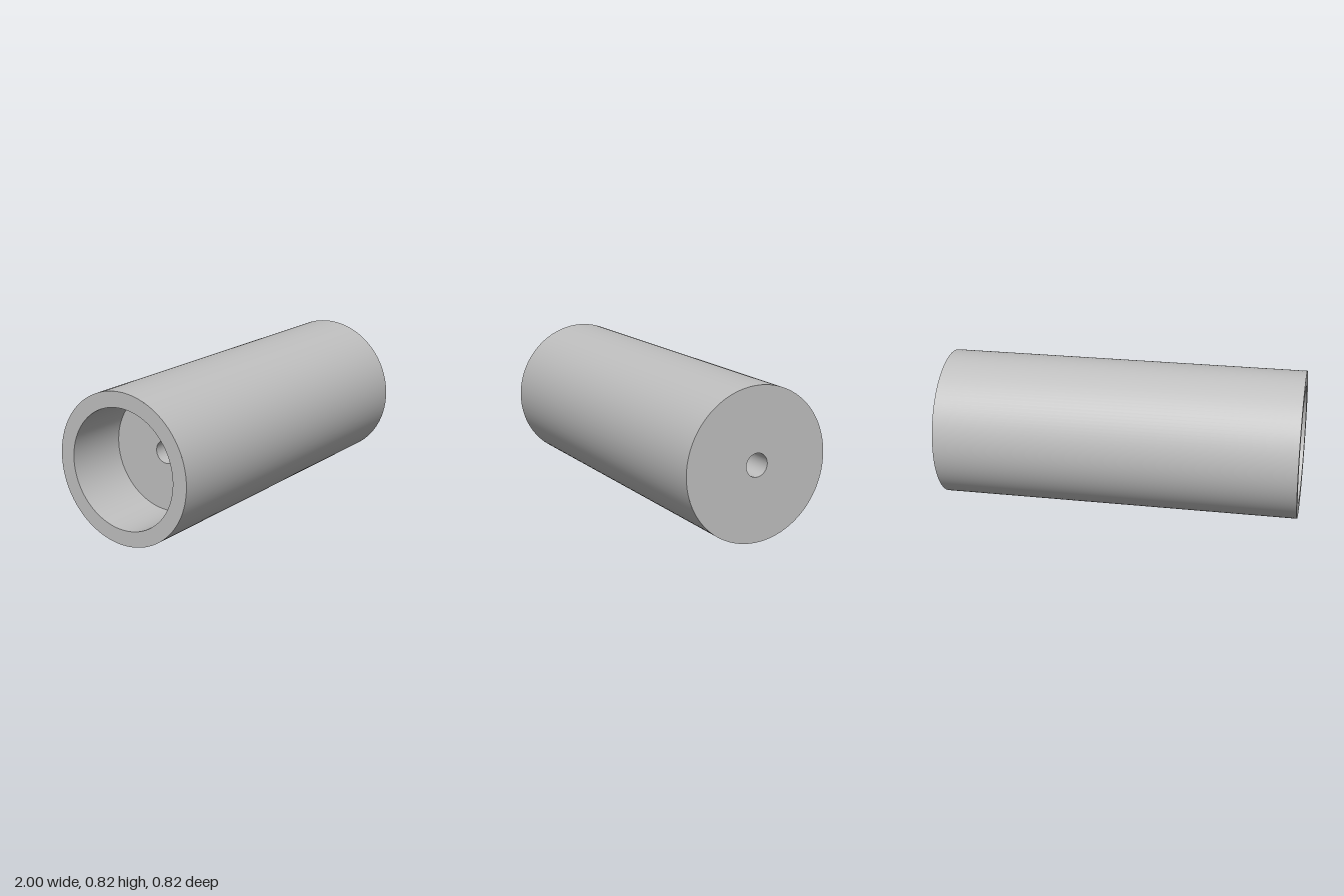
import * as THREE from 'three';

const R = 0.409, BORE = 0.325, HOLE = 0.0625; // radii
const SHOULDER = -0.645;                      // x where the wide bore stops
const SLOT = { half: 0.906, width: 0.045, depth: 0.04 };

export function createModel() {
  const group = new THREE.Group();
  const grey = new THREE.MeshStandardMaterial({ color: 0xbfbfbf });
  grey.name = 'grey';

  const add = (name, geometry) => {
    const mesh = new THREE.Mesh(geometry, grey);
    mesh.name = name;
    mesh.position.y = R;
    group.add(mesh);
  };

  // One surface of revolution about x, from (radius, x) to (radius, x)
  const turned = (name, from, to, start = 0, length = Math.PI * 2, segments = 128) => {
    const g = new THREE.LatheGeometry(
      [new THREE.Vector2(...from), new THREE.Vector2(...to)], segments, start, length);
    add(name, g.rotateZ(-Math.PI / 2));
  };

  // Outer wall, open along the slot at the bottom, closed again at both ends
  const gap = Math.asin(SLOT.width / 2 / R);
  const bottom = Math.PI / 2;
  turned('outerWall', [R, -1], [R, 1], bottom + gap, 2 * (Math.PI - gap));
  turned('slotBridgeRight', [R, SLOT.half], [R, 1], bottom - gap, 2 * gap, 4);
  turned('slotBridgeLeft', [R, -1], [R, -SLOT.half], bottom - gap, 2 * gap, 4);

  // Closed end with its through hole, then the wide bore at the other end
  turned('closedEnd', [R, 1], [HOLE, 1]);
  turned('throughHole', [HOLE, 1], [HOLE, SHOULDER]);
  turned('boreShoulder', [HOLE, SHOULDER], [BORE, SHOULDER]);
  turned('boreWall', [BORE, SHOULDER], [BORE, -1]);
  turned('openEndRim', [BORE, -1], [R, -1]);

  // Slot lining: a box turned inside out, without its lower face
  const slot = new THREE.BoxGeometry(SLOT.half * 2, SLOT.depth, SLOT.width);
  const index = Array.from(slot.index.array).filter((_, i) => i < 18 || i >= 24);
  slot.setIndex(index.reverse());
  slot.clearGroups();
  slot.computeVertexNormals();
  slot.translate(0, -R * Math.cos(gap) + SLOT.depth / 2, 0);
  add('slotLining', slot);

  return group;
}
